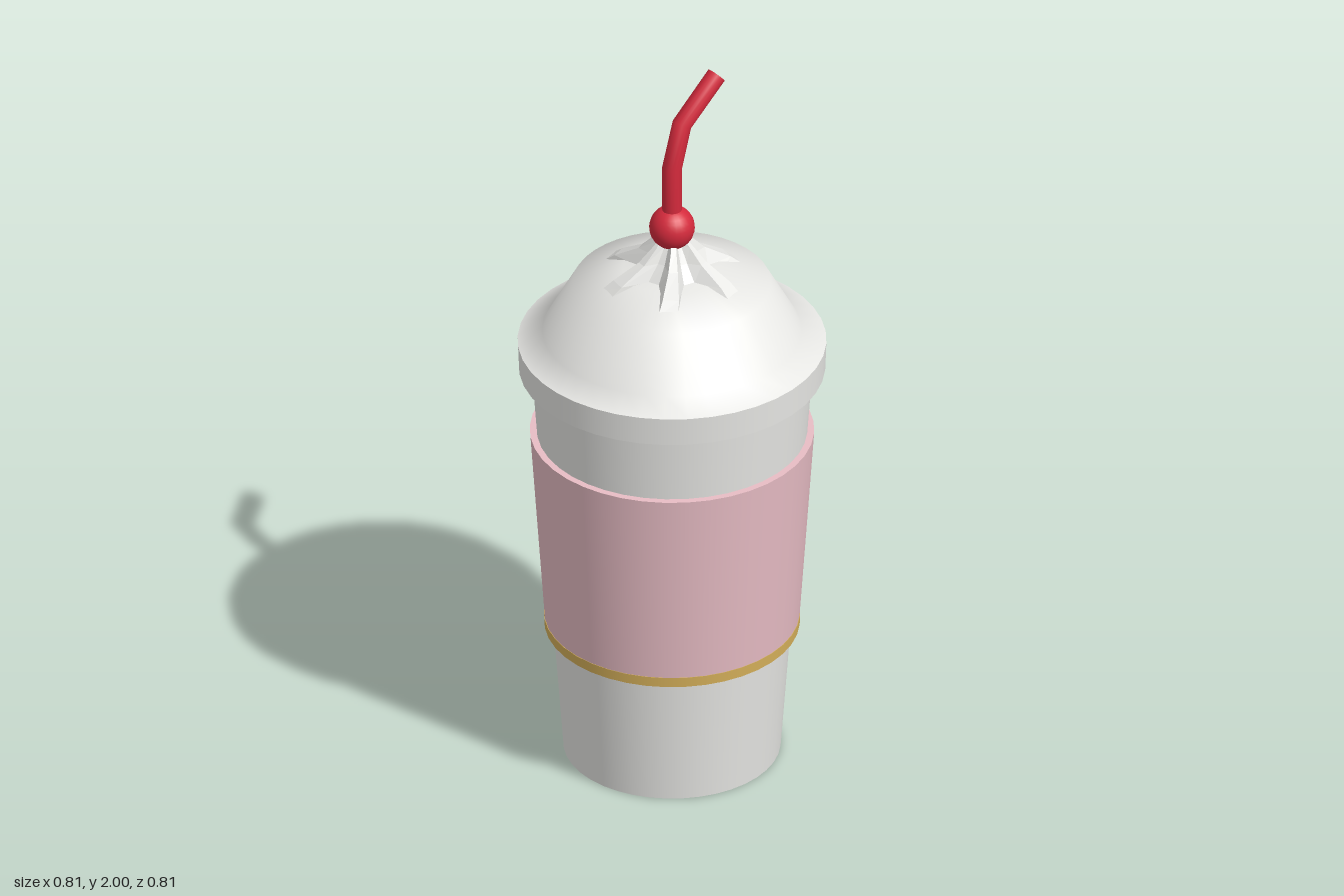
import * as THREE from 'three';

const paint = (name, color) => {
  const m = new THREE.MeshStandardMaterial({ color });
  m.name = name;
  return m;
};

export function createModel() {
  const white = paint('white', 0xf3f3f0);
  const pink = paint('pink', 0xf0c4cc);
  const gold = paint('gold', 0xd4af5a);
  const red = paint('red', 0xd42a3c);
  const model = new THREE.Group();

  const add = (parent, name, geometry, material) => {
    const mesh = new THREE.Mesh(geometry, material);
    mesh.name = name;
    parent.add(mesh);
    return mesh;
  };

  // Turned part: each profile runs outward and up, with sharp edges between profiles
  const turned = (name, material, ...profiles) => {
    const group = new THREE.Group();
    group.name = name;
    profiles.forEach((profile, i) => {
      const points = profile.map(([r, y]) => new THREE.Vector2(r, y));
      add(group, `${name}Face${i + 1}`, new THREE.LatheGeometry(points, 40), material);
    });
    model.add(group);
  };

  turned('cup', white, [[0, 0], [0.285, 0]], [[0.285, 0], [0.37, 1.17]]);
  turned('sleeve', pink,
    [[0.315, 0.39], [0.334, 0.39]],
    [[0.334, 0.39], [0.373, 0.96]],
    [[0.373, 0.96], [0.354, 0.96]]);
  turned('sleeveBand', gold,
    [[0.31, 0.372], [0.335, 0.372]],
    [[0.335, 0.372], [0.336, 0.4]],
    [[0.336, 0.4], [0.31, 0.4]]);
  turned('lid', white,
    [[0.36, 1.155], [0.402, 1.155]],
    [[0.402, 1.155], [0.405, 1.235]],
    [[0.405, 1.235], [0.34, 1.265], [0.26, 1.41], [0.13, 1.452], [0, 1.46]]);

  // Piped cream: six flat-ended ridges, narrowing from level to level
  const levels = [ // height, ridge radius, valley radius, twist
    [1.425, 0.2, 0.125, 0.03],
    [1.453, 0.165, 0.095, 0],
    [1.495, 0.095, 0.06, -0.05],
    [1.535, 0.055, 0.035, -0.1],
    [1.56, 0.03, 0.025, -0.1],
  ];
  const ridges = 6, corners = [[-0.13, 1], [0.13, 1], [0.36, 0], [0.69, 0]];
  const count = ridges * corners.length;
  const positions = [], indices = [];
  for (const [y, outer, inner, twist] of levels) {
    for (let i = 0; i < ridges; i++) {
      for (const [offset, onRidge] of corners) {
        const a = 0.23 + (i * Math.PI * 2) / ridges + offset + twist;
        const r = onRidge ? outer : inner;
        positions.push(Math.cos(a) * r, y, Math.sin(a) * r);
      }
    }
  }
  for (let j = 0; j < levels.length - 1; j++) {
    for (let i = 0; i < count; i++) {
      const a = j * count + i, b = j * count + ((i + 1) % count);
      indices.push(a, a + count, b, b, a + count, b + count);
    }
  }
  const cream = new THREE.BufferGeometry();
  cream.setAttribute('position', new THREE.Float32BufferAttribute(positions, 3));
  cream.setIndex(indices);
  const creamFaces = cream.toNonIndexed();
  creamFaces.computeVertexNormals();
  add(model, 'creamSwirl', creamFaces, white);

  // Cherry
  add(model, 'cherry', new THREE.SphereGeometry(0.06, 24, 16), red).position.y = 1.58;

  // Bent straw: rows of a cylinder moved onto a path, each tilted to its joint
  const path = [[0, 1.6, 0], [0, 1.76, 0.14], [0.035, 1.88, 0.58], [0.157, 1.981, 0.88]];
  const straw = new THREE.CylinderGeometry(0.026, 0.026, 1, 16, path.length - 1);
  const pos = straw.attributes.position, nor = straw.attributes.normal;
  for (let i = 0; i < pos.count; i++) {
    const [px, py, tilt] = path[Math.round((pos.getY(i) + 0.5) * (path.length - 1))];
    const c = Math.cos(tilt), s = Math.sin(tilt);
    const x = pos.getX(i), nx = nor.getX(i), ny = nor.getY(i);
    pos.setXY(i, px + x * c, py - x * s);
    nor.setXY(i, nx * c + ny * s, ny * c - nx * s);
  }
  add(model, 'straw', straw, red);

  return model;
}
